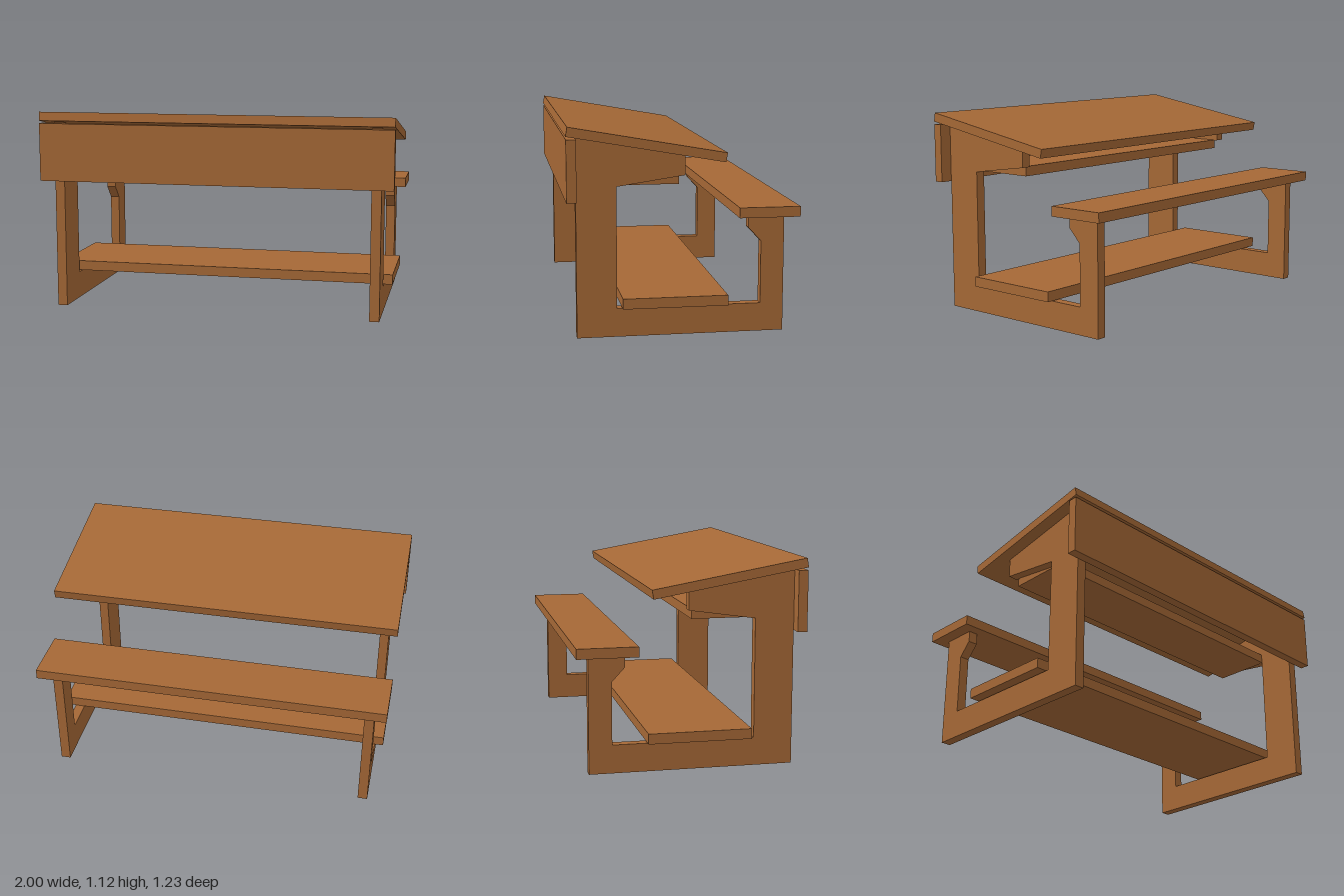
import * as THREE from 'three';

export function createModel() {
  const group = new THREE.Group();
  const wood = new THREE.MeshStandardMaterial({ color: 0xa56836 });
  wood.name = 'brown wood';

  // Board spanning the width, given by its y and z ranges
  function board(name, width, y0, y1, z0, z1) {
    const mesh = new THREE.Mesh(new THREE.BoxGeometry(width, y1 - y0, z1 - z0), wood);
    mesh.position.set(0, (y0 + y1) / 2, (z0 + z1) / 2);
    mesh.name = name;
    group.add(mesh);
    return mesh;
  }

  // Side frames: desk post, floor rail and bench post in one outline of [z, y]
  const outline = [
    [0.565, 0], [-0.545, 0], [-0.545, 0.632], [-0.35, 0.632], [-0.35, 0.568], [-0.42, 0.493],
    [-0.42, 0.154], [0.352, 0.154], [0.352, 0.803], [-0.01, 0.856], [-0.01, 0.964], [0.565, 1.065],
  ];
  const shape = new THREE.Shape(outline.map(([z, y]) => new THREE.Vector2(-z, y)));
  const thickness = 0.055;
  const frameGeometry = new THREE.ExtrudeGeometry(shape, { depth: thickness, bevelEnabled: false });
  frameGeometry.translate(0, 0, -thickness / 2).rotateY(Math.PI / 2);
  for (const side of [-1, 1]) {
    const frame = new THREE.Mesh(frameGeometry, wood);
    frame.position.x = side * 0.902;
    frame.name = side > 0 ? 'leftFrame' : 'rightFrame';
    group.add(frame);
  }

  // Bench, foot board, book shelf and front panel
  board('benchSeat', 2, 0.632, 0.687, -0.615, -0.288);
  board('footBoard', 1.96, 0.16, 0.216, -0.235, 0.327);
  board('bookShelf', 1.76, 0.803, 0.857, 0.015, 0.352);
  board('frontPanel', 2, 0.733, 1.06, 0.565, 0.617);

  // Sloping desk top, higher at the front
  const top = board('deskTop', 2, 1.002, 1.052, -0.2225, 0.6205);
  top.rotation.x = -THREE.MathUtils.degToRad(10);

  return group;
}
